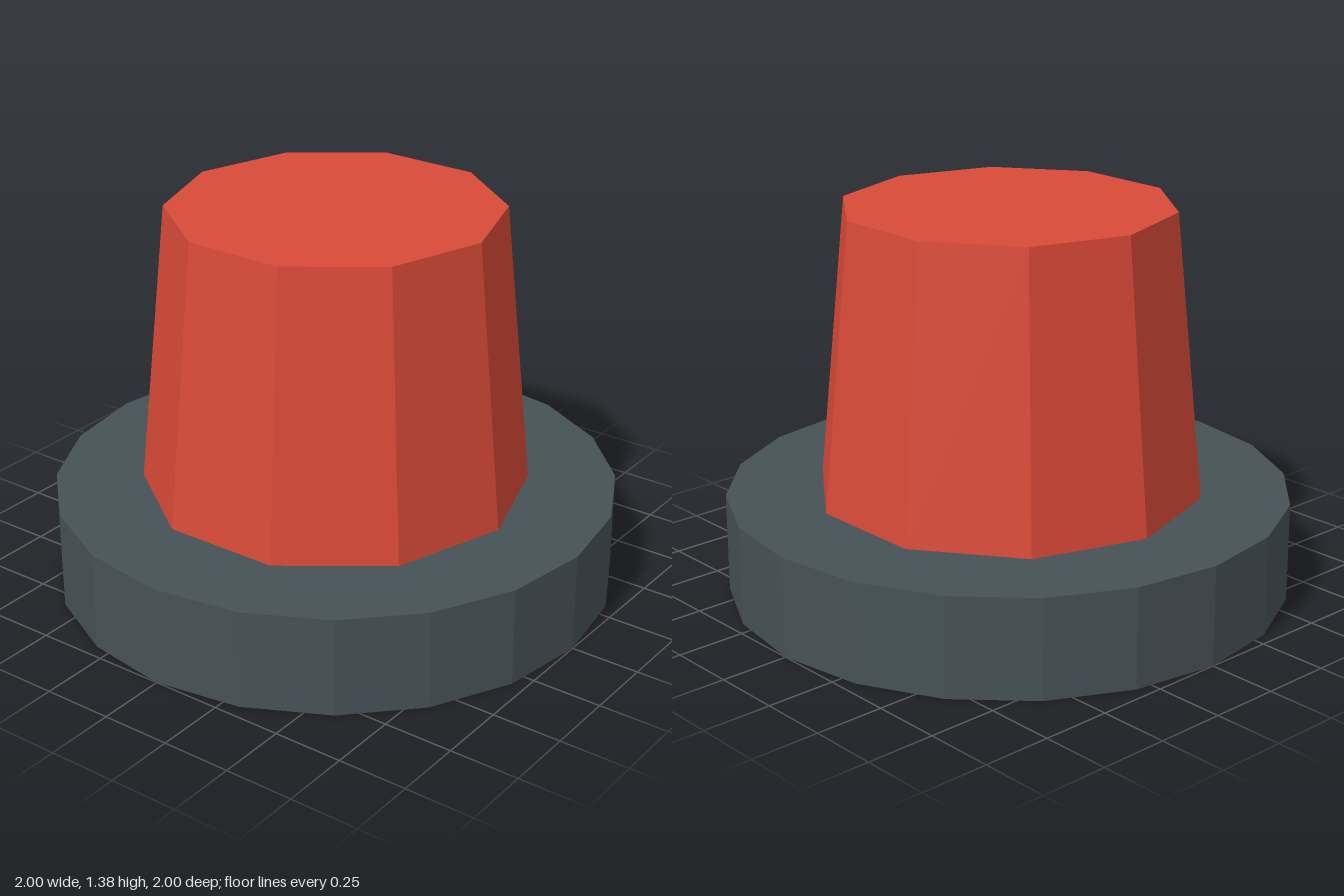
import * as THREE from 'three';

export function createModel() {
  const model = new THREE.Group();
  model.name = 'pushButton';

  const slate = new THREE.MeshStandardMaterial({ color: 0x465257 });
  slate.name = 'slate grey';
  slate.flatShading = true;
  const red = new THREE.MeshStandardMaterial({ color: 0xd94a38 });
  red.name = 'red';
  red.flatShading = true;

  // Upright faceted cylinder spanning y0..y1
  function addDrum(name, material, rTop, rBottom, y0, y1, sides, start = 0) {
    const geometry = new THREE.CylinderGeometry(rTop, rBottom, y1 - y0, sides, 1, false, start);
    geometry.translate(0, (y0 + y1) / 2, 0);
    const mesh = new THREE.Mesh(geometry, material);
    mesh.name = name;
    model.add(mesh);
  }

  // Wide round base
  addDrum('base', slate, 1, 1, 0, 0.357, 20);
  // Tapered ten-sided cap with corners on the x axis
  addDrum('cap', red, 0.585, 0.688, 0.357, 1.38, 10, Math.PI / 2);

  return model;
}
